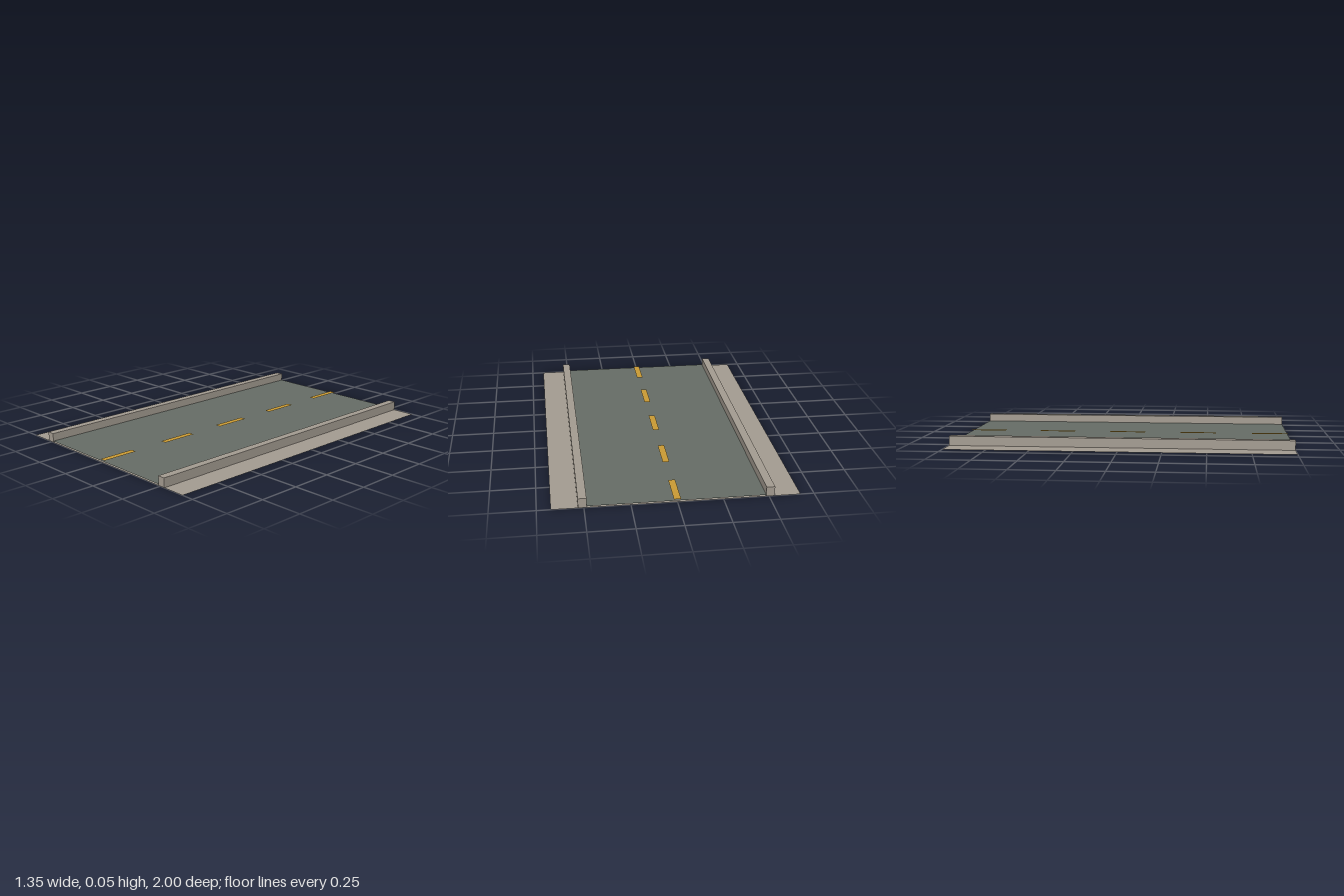
import * as THREE from 'three';

export function createModel() {
  const model = new THREE.Group();
  const material = (name, color, side = THREE.DoubleSide) => {
    const m = new THREE.MeshStandardMaterial({ color, side });
    m.name = name;
    return m;
  };
  const stone = material('paving stone', 0xa59d92);
  const asphalt = material('asphalt', 0x676e67);
  const yellow = material('yellow paint', 0xcc9c35);

  const add = (name, geometry, mat, x, y, z) => {
    const mesh = new THREE.Mesh(geometry, mat);
    mesh.name = name;
    mesh.position.set(x, y, z);
    model.add(mesh);
  };
  const sheet = (width, length) => new THREE.PlaneGeometry(width, length).rotateX(-Math.PI / 2);

  // Ground sheet, whose outer strips are the pavements
  add('pavement', sheet(1.35, 2), stone, 0, 0, 0);

  // Road surface just above it
  add('road', sheet(0.97, 2), asphalt, 0, 0.008, 0);

  // Raised kerbs on both sides
  for (const side of [1, -1]) {
    const name = side > 0 ? 'leftKerb' : 'rightKerb';
    add(name, new THREE.BoxGeometry(0.047, 0.055, 2), stone, side * 0.508, 0.0275, 0);
  }

  // Five centre dashes, separated by gaps of the same length
  const dash = 2 / 9;
  for (let i = -2; i <= 2; i++) {
    add('centreDash' + (i + 3), sheet(0.038, dash), yellow, 0, 0.016, i * dash * 2);
  }
  return model;
}
